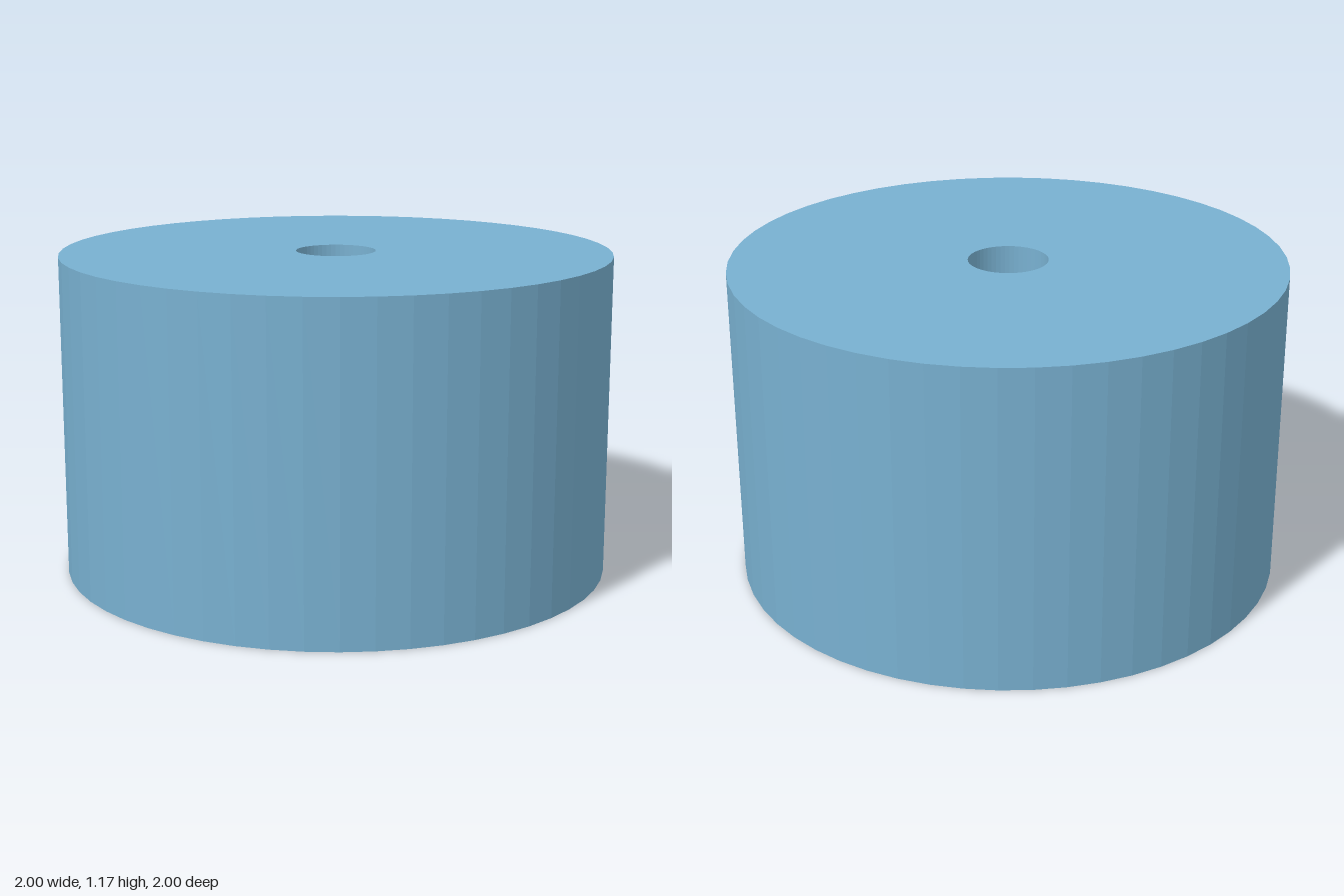
import * as THREE from 'three';

export function createModel() {
  const group = new THREE.Group();
  group.name = 'cap';

  const radius = 1, height = 1.167;
  const boreRadius = 0.833, boreDepth = 0.917, holeRadius = 0.145;

  // Closed wall section: outer wall, top plate, centre hole, ceiling, bore, bottom rim
  const profile = [
    [radius, 0],
    [radius, height],
    [holeRadius, height],
    [holeRadius, boreDepth],
    [boreRadius, boreDepth],
    [boreRadius, 0],
    [radius, 0],
  ].map(([r, y]) => new THREE.Vector2(r, y));

  const body = new THREE.Mesh(
    new THREE.LatheGeometry(profile, 54),
    new THREE.MeshStandardMaterial({ color: 0x78b0d0, flatShading: true })
  );
  body.name = 'hollowCapBody';
  group.add(body);

  return group;
}
